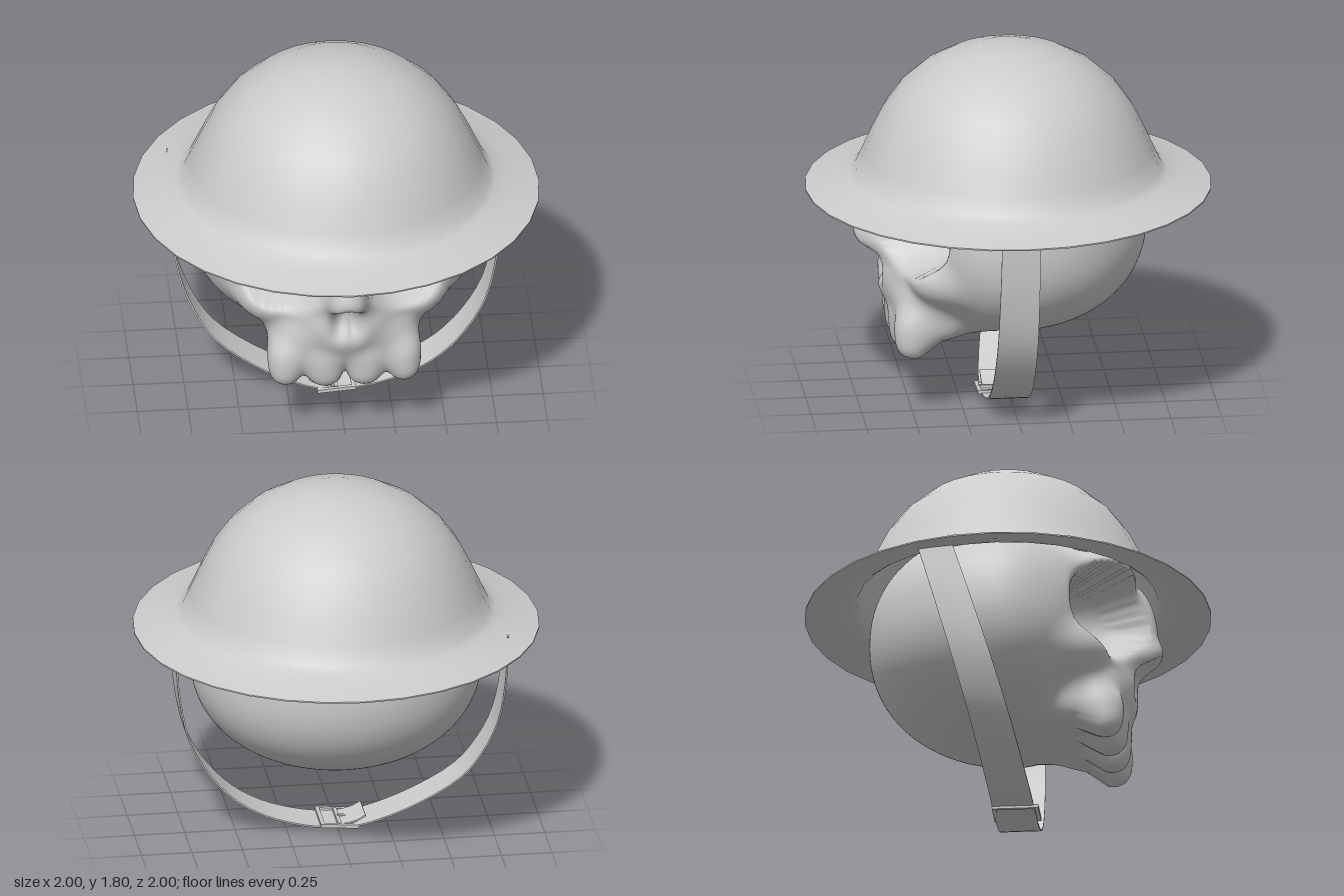
import * as THREE from 'three';
import { mergeVertices, toCreasedNormals } from 'three/addons/utils/BufferGeometryUtils.js';

const grey = new THREE.MeshStandardMaterial({ color: 0xcccccc });

function add(parent, name, geometry) {
  const mesh = new THREE.Mesh(geometry, grey);
  mesh.name = name;
  parent.add(mesh);
  return mesh;
}

// Approximate signed distance to an ellipsoid, n sets how square its upright section is
function blob(x, y, z, [cx, cy, cz, rx, ry, rz, n = 2]) {
  const h = Math.hypot((x - cx) / rx, (z - cz) / rz), b = Math.abs(y - cy) / ry;
  const d = n === 2 ? Math.hypot(h, b) : Math.pow(h ** n + b ** n, 1 / n);
  return (d - 1) * Math.min(rx, ry, rz);
}

function smoothMin(a, b, k) {
  const h = Math.max(k - Math.abs(a - b), 0) / k;
  return Math.min(a, b) - h * h * k * 0.25;
}

// Bone masses: centre, radii, squareness (mirrored in x)
const bones = [
  [0, 0.94, 0.4, 0.42, 0.26, 0.29],      // face behind the sockets
  [0.22, 1.16, 0.4, 0.24, 0.12, 0.25],   // brow
  [0.33, 0.72, 0.34, 0.18, 0.13, 0.18],  // cheek
  [0, 0.66, 0.4, 0.27, 0.24, 0.25],      // middle of the face
  [0, 0.54, 0.32, 0.34, 0.16, 0.25, 4],  // upper jaw
  [0.22, 0.5, 0.42, 0.13, 0.12, 0.14, 3],// jaw corner
  [0, 0.96, 0.59, 0.1, 0.25, 0.14],      // bridge of the nose
  [0, 0.84, 0.69, 0.06, 0.06, 0.07],     // tip of the nose bone
];
const teeth = [
  [0.29, 0.415, 0.495, 0.086, 0.12, 0.095, 2.6],
  [0.098, 0.405, 0.505, 0.095, 0.12, 0.092, 2.6],
];
const hollows = [
  [0.32, 0.955, 0.57, 0.24, 0.215, 0.34], // eye socket
  [0.035, 0.68, 0.7, 0.045, 0.075, 0.1],  // nostril
  [0, 0.74, 0.71, 0.04, 0.08, 0.1],       // top of the nose opening
];

function skullField(px, y, z) {
  const x = Math.abs(px);
  let d = blob(x, y, z, [0, 0.92, 0, 0.72, 0.54, z > 0 ? 0.52 : 0.68, 2.2]);
  for (const b of bones) d = smoothMin(d, blob(x, y, z, b), 0.08);
  for (const t of teeth) d = smoothMin(d, blob(x, y, z, t), 0.05);
  for (const h of hollows) d = -smoothMin(-d, blob(x, y, z, h), 0.05);
  // Stay inside the helmet
  return y > 1.08 ? Math.max(d, Math.hypot(x, z) - 0.735 + 0.45 * (y - 1.08)) : d;
}

// Shrink a fine sphere onto the skull, vertex by vertex
function skullGeometry() {
  let g = new THREE.IcosahedronGeometry(1, 62);
  g.deleteAttribute('uv');
  g.deleteAttribute('normal');
  g = mergeVertices(g, 1e-4);
  const p = g.attributes.position;
  const c = new THREE.Vector3(0, 0.88, -0.25), v = new THREE.Vector3();
  for (let i = 0; i < p.count; i++) {
    v.fromBufferAttribute(p, i).normalize();
    const field = (r) => skullField(c.x + v.x * r, c.y + v.y * r, c.z + v.z * r);
    let inner = 1.15;
    while (inner > 0.05 && field(inner) > 0) inner -= 0.016;
    let outer = inner + 0.016;
    for (let k = 0; k < 9; k++) {
      const mid = (inner + outer) / 2;
      if (field(mid) > 0) outer = mid; else inner = mid;
    }
    p.setXYZ(i, c.x + v.x * inner, c.y + v.y * inner, c.z + v.z * inner);
  }
  g.computeVertexNormals();
  return g;
}

// Helmet shell: lining downwards, then the outside upwards
function helmetGeometry() {
  const outside = [
    [1, 1.085], [0.93, 1.102], [0.85, 1.125], [0.785, 1.148], [0.755, 1.17], [0.715, 1.26],
    [0.67, 1.36], [0.615, 1.47], [0.54, 1.575], [0.43, 1.675], [0.3, 1.748], [0.15, 1.793], [0, 1.805],
  ];
  const lining = outside.slice(1).reverse().map(([r, y]) => [Math.max(0, r - 0.012), y - 0.014]);
  const pts = [...lining, [1, 1.078], ...outside].map(([r, y]) => new THREE.Vector2(r, y));
  return toCreasedNormals(new THREE.LatheGeometry(pts, 32), 0.7);
}

// Thin band along an (x, y) path; edges(x, y) gives its two z limits
function bandGeometry(path, steps, edges) {
  const half = 0.004;
  const curve = new THREE.CatmullRomCurve3(path.map(([x, y]) => new THREE.Vector3(x, y, 0)));
  const pos = [], idx = [];
  for (let i = 0; i <= steps; i++) {
    const { x, y } = curve.getPoint(i / steps), t = curve.getTangent(i / steps);
    const [z0, z1] = edges(x, y), nx = -t.y * half, ny = t.x * half;
    pos.push(x + nx, y + ny, z0, x + nx, y + ny, z1, x - nx, y - ny, z1, x - nx, y - ny, z0);
    for (let j = 0; i < steps && j < 4; j++) {
      const a = i * 4 + j, b = i * 4 + (j + 1) % 4;
      idx.push(a, b, a + 4, b, b + 4, a + 4);
    }
  }
  const e = steps * 4;
  idx.push(0, 2, 1, 0, 3, 2, e, e + 1, e + 2, e, e + 2, e + 3);
  const g = new THREE.BufferGeometry();
  g.setAttribute('position', new THREE.Float32BufferAttribute(pos, 3));
  g.setIndex(idx);
  return toCreasedNormals(g, 0.7);
}

// Buckle: rectangular frame, centre bar and prong
function buildBuckle() {
  const buckle = new THREE.Group();
  buckle.name = 'buckle';
  const frame = new THREE.Shape();
  frame.moveTo(-0.095, -0.115).lineTo(0.095, -0.115).lineTo(0.095, 0.115).lineTo(-0.095, 0.115).closePath();
  const hole = new THREE.Path();
  hole.moveTo(-0.075, -0.095).lineTo(-0.075, 0.095).lineTo(0.075, 0.095).lineTo(0.075, -0.095).closePath();
  frame.holes.push(hole);
  const g = new THREE.ExtrudeGeometry(frame, { depth: 0.018, bevelEnabled: false });
  g.translate(0, 0, -0.009).rotateX(-Math.PI / 2);
  add(buckle, 'buckleFrame', g);
  add(buckle, 'buckleBar', new THREE.BoxGeometry(0.018, 0.018, 0.2)).position.y = 0.004;
  add(buckle, 'buckleProng', new THREE.BoxGeometry(0.09, 0.014, 0.016)).position.set(-0.045, 0.01, 0);
  buckle.position.set(-0.01, 0.019, 0.043);
  buckle.rotation.z = 0.08;
  return buckle;
}

export function createModel() {
  const model = new THREE.Group();
  add(model, 'skull', skullGeometry());
  add(model, 'helmet', helmetGeometry());

  // Chin strap, leaning backwards on the right side
  const strapPath = [
    [-0.8, 1.12], [-0.8, 0.85], [-0.77, 0.6], [-0.7, 0.42], [-0.6, 0.275], [-0.4, 0.135], [-0.2, 0.045],
    [-0.08, 0.015], [0.08, 0.018], [0.2, 0.04], [0.35, 0.09], [0.5, 0.18], [0.63, 0.32], [0.73, 0.5],
    [0.785, 0.75], [0.8, 0.95], [0.8, 1.12],
  ];
  add(model, 'chinStrap', bandGeometry(strapPath, 48, (x, y) => {
    const t = y / 1.08;
    return x < 0 ? [-0.065 - 0.31 * t, 0.14 - 0.34 * t] : [-0.065 - 0.01 * t, 0.14 - 0.025 * t];
  }));

  // Loose strap end rising from the buckle
  const tailPath = [[-0.02, 0.022], [-0.06, 0.028], [-0.1, 0.04], [-0.14, 0.062]];
  add(model, 'strapEnd', bandGeometry(tailPath, 8, () => [-0.055, 0.125]));

  model.add(buildBuckle());
  return model;
}
